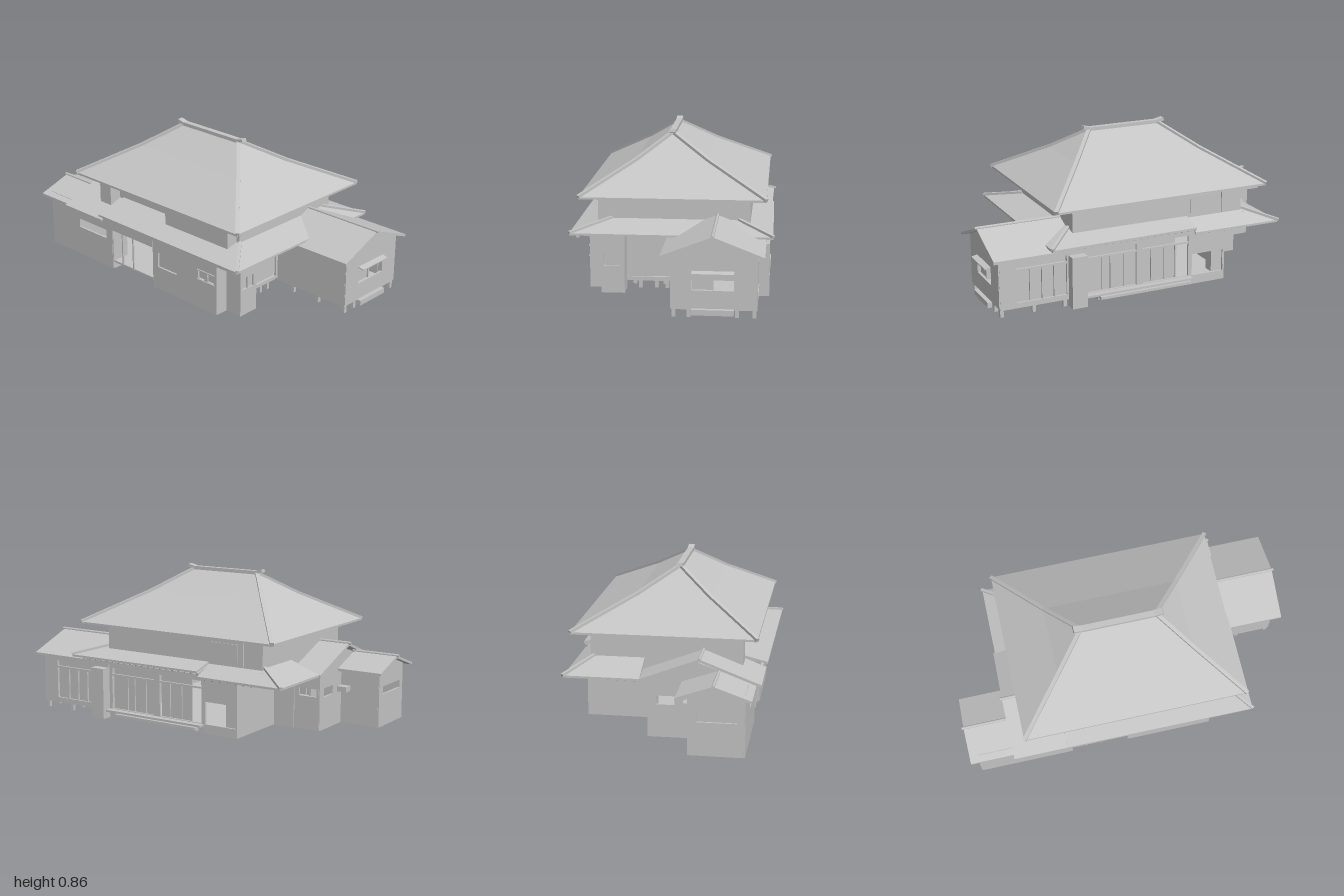
import * as THREE from 'three';

export function createModel() {
  const house = new THREE.Group();
  house.name = 'house';
  const grey = new THREE.MeshStandardMaterial({ color: 0xc4c4c4, side: THREE.DoubleSide });
  grey.name = 'plain grey';

  const add = (name, geo) => {
    const m = new THREE.Mesh(geo, grey);
    m.name = name;
    house.add(m);
    return m;
  };
  // box from its min and max corners
  const box = (name, x0, x1, y0, y1, z0, z1) => add(name, new THREE.BoxGeometry(x1 - x0, y1 - y0, z1 - z0)
    .translate((x0 + x1) / 2, (y0 + y1) / 2, (z0 + z1) / 2));
  // rectangular beam between two points
  const beam = (name, a, b, w, h = w) => {
    const p = new THREE.Vector3(...a), q = new THREE.Vector3(...b);
    const m = add(name, new THREE.BoxGeometry(w, h, p.distanceTo(q)));
    m.position.copy(p).add(q).multiplyScalar(0.5);
    m.lookAt(q);
  };
  // sloping slab under a convex outline given counter-clockwise from above
  const slab = (name, pts, t = 0.012) => {
    const v = [], n = pts.length, low = pts.map(([x, y, z]) => [x, y - t, z]);
    for (let i = 1; i < n - 1; i++) {
      v.push(...pts[0], ...pts[i], ...pts[i + 1], ...low[0], ...low[i + 1], ...low[i]);
    }
    for (let i = 0; i < n; i++) {
      const j = (i + 1) % n;
      v.push(...low[i], ...low[j], ...pts[j], ...low[i], ...pts[j], ...pts[i]);
    }
    const g = new THREE.BufferGeometry();
    g.setAttribute('position', new THREE.Float32BufferAttribute(v, 3));
    g.computeVertexNormals();
    add(name, g);
  };
  // upright wall with rectangular holes [u0, u1, y0, y1]; 'x' walls stand at x = at and run along z
  const wall = (name, axis, at, pts, holes = [], t = 0.012) => {
    const s = new THREE.Shape(pts.map(p => new THREE.Vector2(...p)));
    for (const [a, b, c, d] of holes) {
      s.holes.push(new THREE.Path([[a, c], [a, d], [b, d], [b, c]].map(p => new THREE.Vector2(...p))));
    }
    const g = new THREE.ExtrudeGeometry(s, { depth: t, bevelEnabled: false }).translate(0, 0, -t / 2);
    if (axis === 'x') g.rotateY(-Math.PI / 2).translate(at, 0, 0);
    else g.translate(0, 0, at);
    add(name, g);
  };
  const rect = (a, b, c, d) => [[a, c], [b, c], [b, d], [a, d]];
  const gable = (a, b, y0, eave, top) => [[a, y0], [b, y0], [b, eave], [(a + b) / 2, top], [a, eave]];

  // main hipped roof with a slight sag
  const rings = [[-0.505, 0.51, -0.66, 0.63, 0.553], [-0.22, 0.186, -0.403, 0.373, 0.713], [-0.032, -0.028, -0.23, 0.2, 0.84]]
    .map(([x0, x1, z0, z1, y]) => [[x0, y, z1], [x1, y, z1], [x1, y, z0], [x0, y, z0]]);
  for (let r = 0; r < 2; r++) {
    for (let i = 0; i < 4; i++) {
      const j = (i + 1) % 4;
      slab('mainRoof', [rings[r][i], rings[r][j], rings[r + 1][j], rings[r + 1][i]]);
      beam('hipRidge', rings[r][i], rings[r + 1][i], 0.022, 0.02);
    }
  }
  beam('mainRidge', [-0.03, 0.843, -0.23], [-0.03, 0.843, 0.2], 0.034, 0.02);
  for (const [a, b] of [[-0.22, -0.27], [0.19, 0.24]]) {
    beam('ridgeEnd', [-0.03, 0.843, a], [-0.03, 0.855, b], 0.036, 0.018);
  }

  // upper storey with side bays
  wall('upperFrontWall', 'z', 0.495, rect(-0.34, 0.42, 0.38, 0.57));
  wall('upperBackWall', 'z', -0.545, rect(-0.42, 0.42, 0.33, 0.57));
  wall('upperRightWall', 'x', 0.415, rect(-0.55, 0.5, 0.38, 0.57));
  wall('upperLeftWall', 'x', -0.34, rect(-0.55, 0.5, 0.33, 0.57));
  box('sideBay', -0.42, -0.34, 0.36, 0.56, 0, 0.48);
  box('backBay', -0.42, -0.34, 0.33, 0.56, -0.55, -0.46);
  box('balconyWindow', 0.415, 0.426, 0.41, 0.51, -0.39, -0.22);
  box('balconyPost', 0.415, 0.428, 0.39, 0.545, -0.43, -0.42);

  // lower skirt roof
  slab('frontSkirt', [[-0.55, 0.362, 0.67], [0.55, 0.362, 0.67], [0.36, 0.412, 0.5], [-0.34, 0.412, 0.5]]);
  slab('rightSkirt', [[0.55, 0.362, 0.67], [0.54, 0.362, -0.2], [0.36, 0.412, -0.2], [0.36, 0.412, 0.5]]);
  slab('leftSkirt', [[-0.55, 0.362, 0.67], [-0.34, 0.412, 0.5], [-0.34, 0.412, -0.43], [-0.545, 0.362, -0.43]]);
  slab('rearRightSkirt', [[0.53, 0.33, -0.2], [0.535, 0.33, -0.73], [0.4, 0.395, -0.55], [0.4, 0.395, -0.2]]);
  slab('backSkirt', [[0.535, 0.33, -0.73], [0.12, 0.33, -0.73], [0.12, 0.395, -0.55], [0.4, 0.395, -0.55]]);
  beam('skirtHip', [0.55, 0.366, 0.672], [0.36, 0.415, 0.5], 0.018, 0.014);
  beam('skirtHip', [-0.55, 0.366, 0.672], [-0.34, 0.415, 0.5], 0.018, 0.014);
  beam('skirtHip', [0.54, 0.333, -0.735], [0.4, 0.398, -0.55], 0.018, 0.014);
  // rafters and eave beams
  for (let i = 0; i < 20; i++) {
    const z = 0.6 - i * 0.042;
    beam('rafter', [0.53, 0.345, z], [0.42, 0.375, z], 0.01);
    if (z > -0.42) beam('rafter', [-0.53, 0.345, z], [-0.42, 0.372, z], 0.01);
  }
  for (let i = 0; i < 7; i++) {
    const z = -0.24 - i * 0.05, x = 0.15 + i * 0.048;
    beam('rafter', [0.52, 0.315, z], [0.41, 0.368, z], 0.01);
    beam('rafter', [x, 0.315, -0.715], [x, 0.374, -0.55], 0.01);
  }
  box('eaveBeam', 0.5, 0.515, 0.325, 0.34, -0.2, 0.62);
  box('eaveBeam', -0.52, -0.505, 0.325, 0.34, -0.42, 0.62);

  // gable roofs: ridge x, half width, eave and ridge height, z range
  const gableRoof = (name, cx, w, y0, y1, z0, z1) => {
    slab(name, [[cx, y1, z1], [cx + w, y0, z1], [cx + w, y0, z0], [cx, y1, z0]], 0.015);
    slab(name, [[cx - w, y0, z1], [cx, y1, z1], [cx, y1, z0], [cx - w, y0, z0]], 0.015);
    add(name + 'Ridge', new THREE.CylinderGeometry(0.009, 0.009, z1 - z0 + 0.02, 8).rotateX(Math.PI / 2)
      .translate(cx, y1, (z0 + z1) / 2));
  };
  gableRoof('porchRoof', 0.243, 0.27, 0.335, 0.44, 0.5, 0.987);
  gableRoof('rearRoof', -0.205, 0.332, 0.33, 0.457, -0.74, -0.55);
  gableRoof('annexRoof', -0.31, 0.2, 0.325, 0.395, -0.99, -0.72);
  slab('rearRoofSide', [[-0.537, 0.33, -0.42], [-0.34, 0.404, -0.42], [-0.34, 0.404, -0.56], [-0.537, 0.33, -0.56]]);

  // front porch room
  wall('porchFront', 'z', 0.945, gable(0.025, 0.475, 0.05, 0.34, 0.425), [[0.135, 0.355, 0.145, 0.245]]);
  wall('porchLeftWall', 'x', 0.03, rect(0.46, 0.945, 0.05, 0.34));
  wall('porchRightWall', 'x', 0.47, rect(0.55, 0.945, 0.05, 0.325), [[0.56, 0.85, 0.07, 0.25], [0.56, 0.85, 0.262, 0.295]]);
  box('porchScreen', 0.455, 0.461, 0.065, 0.3, 0.56, 0.85);
  for (const z of [0.63, 0.7, 0.77]) box('screenPost', 0.46, 0.472, 0.07, 0.25, z - 0.004, z + 0.004);
  box('porchWindowPane', 0.135, 0.245, 0.145, 0.245, 0.926, 0.932);
  box('windowBar', 0.24, 0.248, 0.145, 0.245, 0.932, 0.94);
  slab('windowHood', [[0.135, 0.243, 0.985], [0.355, 0.243, 0.985], [0.355, 0.252, 0.945], [0.135, 0.252, 0.945]], 0.006);
  box('porchStep', 0.135, 0.355, 0.018, 0.048, 0.95, 0.975);

  // main front: sliding doors and a projecting window bay
  wall('frontWall', 'z', 0.445, rect(-0.47, 0.47, 0.05, 0.37), [[-0.26, 0.02, 0.065, 0.24]]);
  box('frontWallBase', -0.47, -0.395, 0, 0.05, 0.439, 0.451);
  box('slidingDoor', -0.26, -0.165, 0.065, 0.24, 0.435, 0.443);
  box('slidingDoor', -0.17, 0.02, 0.065, 0.24, 0.427, 0.435);
  wall('bayFront', 'z', 0.55, rect(-0.395, -0.265, 0, 0.37), [[-0.38, -0.29, 0.155, 0.225]]);
  for (const x of [-0.389, -0.271]) wall('baySide', 'x', x, rect(0.445, 0.55, 0, 0.37));
  box('bayFloor', -0.389, -0.271, 0.04, 0.052, 0.445, 0.55);
  box('bayWindowPane', -0.38, -0.29, 0.155, 0.225, 0.54, 0.545);
  box('windowBar', -0.338, -0.332, 0.155, 0.225, 0.545, 0.555);
  box('cornerWall', 0.47, 0.53, 0, 0.295, 0.46, 0.55);
  box('cornerWallTop', 0.465, 0.48, 0.29, 0.36, 0.46, 0.55);

  // right side veranda: framed bays with recessed screens
  box('verandaFloor', 0.4, 0.51, 0.04, 0.052, -0.2, 0.46);
  box('verandaStep', 0.49, 0.528, 0.025, 0.04, -0.18, 0.38);
  wall('verandaFrame', 'x', 0.465, rect(-0.2, 0.46, 0.045, 0.36), [[0.14, 0.44, 0.055, 0.25],
    [0.14, 0.44, 0.26, 0.295], [-0.185, 0.1, 0.055, 0.25], [-0.185, 0.1, 0.26, 0.295]]);
  box('verandaScreen', 0.445, 0.452, 0.052, 0.3, 0.14, 0.44);
  box('verandaScreen', 0.445, 0.452, 0.052, 0.3, -0.11, 0.1);
  for (const z of [0.34, 0.29, 0.21, 0.04, -0.04, -0.11]) {
    box('screenPost', 0.452, 0.46, 0.05, 0.25, z - 0.005, z + 0.005);
  }

  // right rear block
  wall('rightRearWall', 'x', 0.465, rect(-0.42, -0.2, 0, 0.35), [[-0.41, -0.21, 0.052, 0.18]]);
  box('cabinet', 0.4, 0.46, 0.052, 0.18, -0.41, -0.34);
  wall('rightRearBack', 'z', -0.414, rect(0.08, 0.47, 0, 0.345));

  // rear gabled block and annex
  wall('rearGableWall', 'z', -0.705, gable(-0.47, 0.08, 0, 0.335, 0.43), [[-0.07, 0.03, 0.185, 0.235]]);
  wall('rearRightWall', 'x', 0.075, rect(-0.705, -0.414, 0, 0.335), [[-0.69, -0.58, 0.19, 0.235]]);
  box('rearWallPilaster', 0.075, 0.087, 0, 0.335, -0.55, -0.414);
  box('annexShelf', -0.17, -0.12, 0.19, 0.22, -0.77, -0.705);
  wall('annexBackWall', 'z', -0.945, gable(-0.467, -0.17, 0, 0.33, 0.38), [[-0.43, -0.22, 0.185, 0.23]]);
  wall('annexRightWall', 'x', -0.175, rect(-0.945, -0.7, 0, 0.33));
  wall('annexLeftWall', 'x', -0.467, rect(-0.945, -0.4, 0, 0.34), [[-0.69, -0.45, 0.18, 0.235]]);
  wall('rearSideReturn', 'z', -0.4, rect(-0.47, -0.36, 0, 0.34));

  // left side
  wall('leftWall', 'x', -0.467, rect(-0.05, 0.45, 0, 0.36),
    [[-0.01, 0.14, 0.14, 0.23], [0.31, 0.36, 0.18, 0.23], [0.38, 0.43, 0.18, 0.23]]);
  box('leftWindowPane', -0.462, -0.456, 0.14, 0.23, -0.01, 0.14);
  for (const z of [0.31, 0.38]) {
    box('leftSmallPane', -0.462, -0.456, 0.18, 0.23, z, z + 0.05);
    box('leftSill', -0.48, -0.47, 0.172, 0.178, z - 0.005, z + 0.055);
    box('leftHood', -0.48, -0.47, 0.23, 0.236, z - 0.005, z + 0.055);
  }
  wall('leftReturn', 'z', -0.05, rect(-0.47, -0.36, 0, 0.36));
  box('leftHeader', -0.476, -0.464, 0.25, 0.36, -0.4, -0.05);
  for (const z of [-0.31, -0.22]) box('leftPost', -0.474, -0.466, 0.05, 0.25, z - 0.004, z + 0.004);

  // raised floor and short piers
  box('mainFloor', -0.465, 0.465, 0.04, 0.052, -0.41, 0.445);
  box('rearFloor', -0.465, 0.075, 0.04, 0.052, -0.705, -0.41);
  box('annexFloor', -0.465, -0.175, 0.04, 0.052, -0.945, -0.705);
  box('porchFloor', 0.025, 0.475, 0.04, 0.052, 0.445, 0.945);
  const pier = (x, z) => box('pier', x - 0.01, x + 0.01, 0, 0.045, z - 0.01, z + 0.01);
  for (let i = 0; i < 6; i++) {
    for (let j = 0; j < 5; j++) pier(-0.4 + i * 0.17, -0.3 + j * 0.165);
  }
  for (const x of [0.04, 0.12, 0.37, 0.46]) for (const z of [0.57, 0.75, 0.935]) pier(x, z);
  for (const x of [-0.19, -0.1, -0.04]) pier(x, 0.435);

  return house;
}
